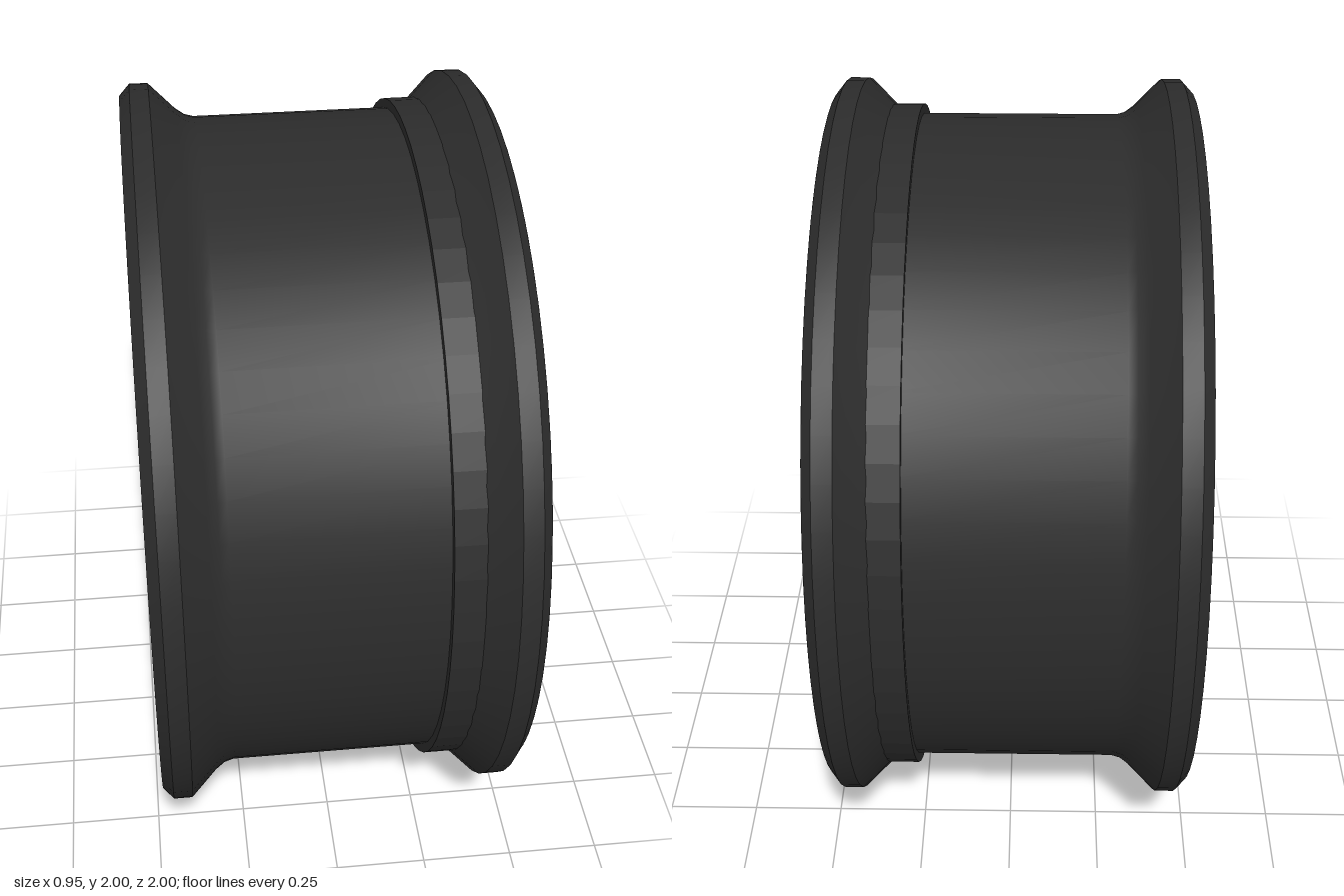
import * as THREE from 'three';
import { toCreasedNormals } from 'three/addons/utils/BufferGeometryUtils.js';

const DEG = Math.PI / 180;

export function createModel() {
  const silver = new THREE.MeshStandardMaterial({ color: 0xb8b8b8 });
  silver.name = 'machined silver';
  const black = new THREE.MeshStandardMaterial({ color: 0x2c2c2c });
  black.name = 'satin black';

  const model = new THREE.Group();
  model.name = 'wheel';
  // Everything is built with the axle along z, then turned so the face looks to +x
  const wheel = new THREE.Group();
  wheel.name = 'wheelBody';
  wheel.rotation.y = Math.PI / 2;
  wheel.position.y = 1;
  model.add(wheel);

  const add = (name, geometry, material, angle = 0) => {
    const mesh = new THREE.Mesh(geometry, material);
    mesh.name = name;
    mesh.rotation.z = angle;
    wheel.add(mesh);
    return mesh;
  };
  const vecs = (pts) => pts.map(([x, y]) => new THREE.Vector2(x, y));
  const shapeOf = (pts, holes = []) => {
    const s = new THREE.Shape(vecs(pts));
    holes.forEach((h) => s.holes.push(new THREE.Path(vecs(h))));
    return s;
  };
  const extrude = (shape, z0, z1) =>
    new THREE.ExtrudeGeometry(shape, { depth: z1 - z0, bevelEnabled: false }).translate(0, 0, z0);
  const circle = (r, n = 64) => Array.from({ length: n }, (_, i) => {
    const a = (i / n) * Math.PI * 2;
    return [r * Math.cos(a), r * Math.sin(a)];
  });
  const turn = ([x, y], a) => [x * Math.cos(a) - y * Math.sin(a), x * Math.sin(a) + y * Math.cos(a)];
  const cylinder = (r0, r1, z0, z1, n) =>
    new THREE.CylinderGeometry(r1, r0, z1 - z0, n).rotateX(Math.PI / 2).translate(0, 0, (z0 + z1) / 2);

  // Barrel: flanged outside, hollow inside
  const profile = [
    [0.93, -0.468], [0.97, -0.478], [1, -0.45], [1, -0.4], [0.93, -0.33], [0.912, -0.305], [0.905, -0.28],
    [0.905, 0.28], [0.912, 0.305], [0.93, 0.33], [1, 0.4], [1, 0.45], [0.966, 0.477], [0.9, 0.46],
    [0.875, 0.25], [0.87, -0.28], [0.9, -0.39], [0.92, -0.43], [0.93, -0.468],
  ];
  const barrel = new THREE.LatheGeometry(vecs(profile), 56).rotateX(Math.PI / 2);
  const barrelMat = black;
  // Lathe axis y becomes z, keeping the face at +z
  add('barrel', toCreasedNormals(barrel, 0.55), barrelMat);

  // Six-notched opening of the face ring
  const opening = (grow) => {
    const w = 0.188 + grow, apothem = 0.646 + grow, R = 0.81 + grow;
    const base = (apothem - w / 2) / Math.cos(30 * DEG);
    const half = Math.asin(w / R);
    const pts = [];
    for (let i = 0; i < 6; i++) {
      const a = (30 + 60 * i) * DEG;
      pts.push(turn([base, -w], a));
      for (let k = -3; k <= 3; k++) pts.push(turn([R, 0], a + (half * k) / 3));
      pts.push(turn([base, w], a));
    }
    return pts;
  };
  add('faceRingBody', extrude(shapeOf(circle(0.93), [opening(0)]), 0.25, 0.46), black);
  add('faceRing', extrude(shapeOf(circle(0.966), [opening(0.011)]), 0.468, 0.477), [silver, black]);
  add('faceRingLip', extrude(shapeOf(circle(0.96), [opening(0.01)]), 0.45, 0.469), black);

  // Back plate with one small vent behind each slot
  const vent = [[0.5, 0], [0.56, -0.062], [0.56, 0.062]];
  const vents = [0, 1, 2, 3, 4, 5].map((i) => vent.map((p) => turn(p, i * 60 * DEG)));
  add('backPlate', extrude(shapeOf(circle(0.885), vents), 0.22, 0.25), black);

  // Hub
  add('hubPad', cylinder(0.47, 0.47, 0.08, 0.29, 48), black);
  add('hubCore', cylinder(0.2, 0.185, 0.28, 0.42, 36), black);
  add('hubCap', cylinder(0.177, 0.177, 0.42, 0.44, 40), silver);
  add('hubCapFace', cylinder(0.177, 0.165, 0.44, 0.45, 40), silver);

  // Faceted pieces from triangles, each corner [radius, side, z]
  const facets = (tris) => {
    const g = new THREE.BufferGeometry();
    g.setAttribute('position', new THREE.Float32BufferAttribute(tris.flat(2), 3));
    g.computeVertexNormals();
    return g;
  };
  const top = 0.44;
  const A = [0.557, 0, top], T = [0.38, 0.107, top], U = [0.38, -0.107, top], M = [0.175, 0, 0.37];
  const low = ([x, y]) => [x, y, 0.25];
  const wall = (p, q) => [[p, low(p), low(q)], [p, low(q), q]];
  const kite = facets([[M, U, A], [M, A, T], ...wall(M, U), ...wall(U, A), ...wall(A, T), ...wall(T, M)]);
  // Sloping valley outside the point where two spokes meet
  const P = [0.71, 0.09, top - 0.01], Q = [0.71, -0.09, top - 0.01];
  const E = [0.70, 0.075, 0.34], F = [0.70, -0.075, 0.34];
  const valley = facets([[A, F, E], [A, E, P], [A, Q, F], [E, F, low(F)], [E, low(F), low(E)]]);

  const spokePts = [[0.383, 0.093], [0.66, 0.093], [0.66, 0.16], [0.703, 0.193], [0.659, 0.278], [0.482, 0.278]];
  const slotRect = [[0.44, -0.095], [0.66, -0.095], [0.66, 0.095], [0.44, 0.095]];
  const bigVent = [[0.465, 0], [0.59, -0.078], [0.59, 0.078]];
  const arcBand = (r0, r1, half) => {
    const pts = [];
    for (let k = -4; k <= 4; k++) pts.push(turn([r1, 0], (half * k) / 4));
    for (let k = 4; k >= -4; k--) pts.push(turn([r0, 0], (half * k) / 4));
    return shapeOf(pts);
  };

  for (let i = 0; i < 6; i++) {
    const a = i * 60 * DEG, n = a + 30 * DEG;

    // Twin spokes, one on each side of the slot
    for (const side of [1, -1]) {
      const pts = spokePts.map(([x, y]) => [x, y * side]);
      add('spoke', extrude(shapeOf(pts), 0.25, top), [silver, black], a);
    }
    // Slot floor stepping down to the vent
    add('slotFloor', extrude(shapeOf(slotRect, [vent]), 0.25, 0.31), black, a);
    add('slotStep', extrude(shapeOf(slotRect, [bigVent]), 0.31, 0.35), black, a);

    // Lug nut in its seat
    const lug = new THREE.Group();
    lug.name = 'lugNut';
    lug.position.set(0.283 * Math.cos(a), 0.283 * Math.sin(a), 0);
    wheel.add(lug);
    const parts = [
      ['lugSeat', cylinder(0.066, 0.06, 0.28, 0.32, 20), black],
      ['lugBody', cylinder(0.05, 0.05, 0.3, 0.405, 8), silver],
      ['lugTip', cylinder(0.05, 0.03, 0.405, 0.43, 8), silver],
    ];
    for (const [name, geometry, material] of parts) {
      const mesh = new THREE.Mesh(toCreasedNormals(geometry, 0.4), material);
      mesh.name = name;
      lug.add(mesh);
    }

    // Star facets, valley and curved bars in each notch
    add('starFacet', kite, black, n);
    add('notchValley', valley, black, n);
    add('notchBar', extrude(arcBand(0.715, 0.75, 11 * DEG), 0.25, 0.42), black, n);
    add('notchBarOuter', extrude(arcBand(0.75, 0.775, 9 * DEG), 0.25, 0.38), black, n);
  }
  return model;
}
